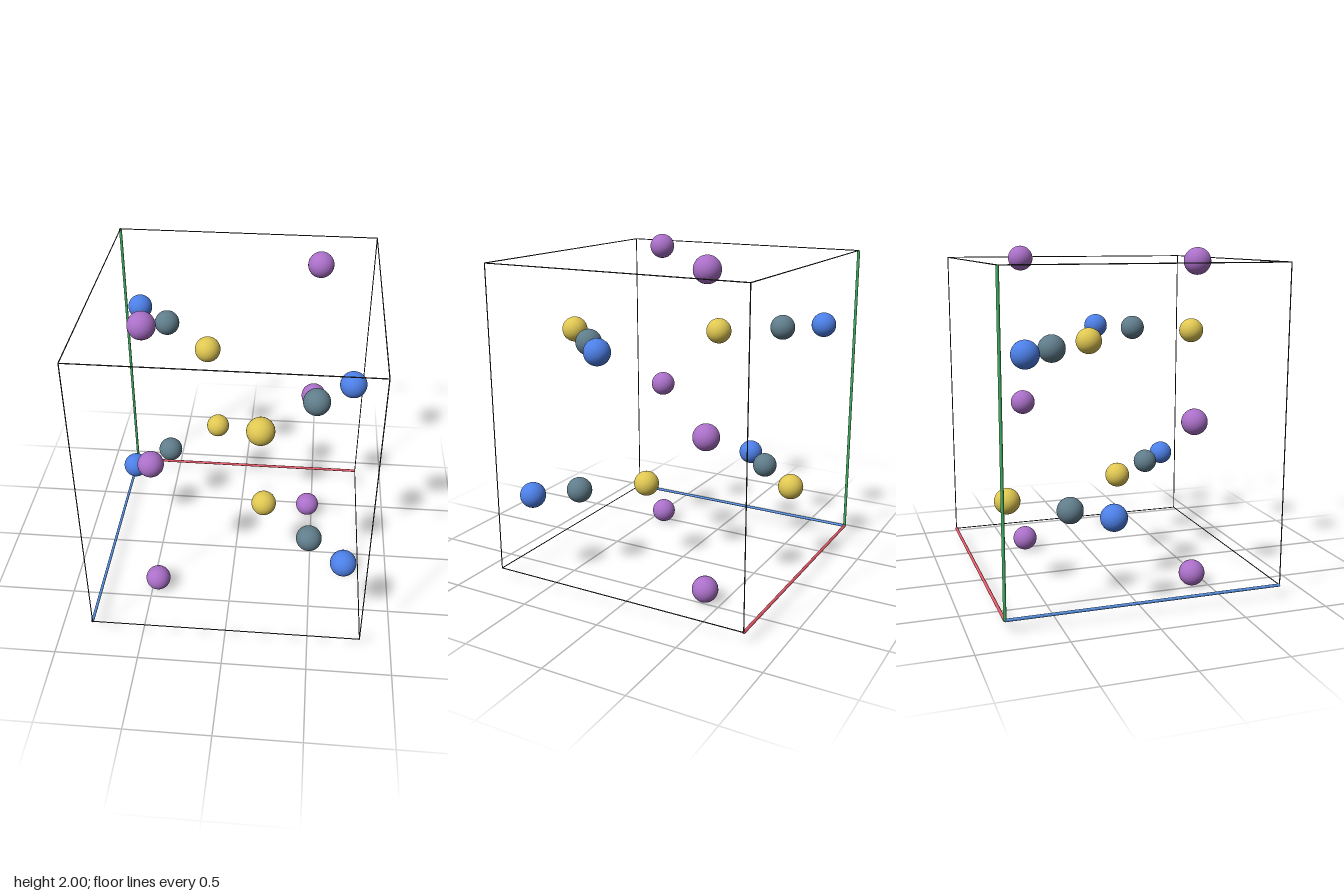
import * as THREE from 'three';

const mat = (name, color) => Object.assign(new THREE.MeshStandardMaterial({ color }), { name });

export function createModel() {
  const group = new THREE.Group();
  group.name = 'crystalCell';
  const purple = mat('purple', 0xab70c9);
  const blue = mat('blue', 0x4d80e8);
  const slate = mat('slate', 0x607d8b);
  const gold = mat('gold', 0xe0c752);
  const charcoal = mat('charcoal', 0x333333);
  const red = mat('axis red', 0xee5c6c);
  const green = mat('axis green', 0x42b062);
  const axisBlue = mat('axis blue', 0x5890e0);

  const R = 0.077, H = 0.808, OFF = 0.003;  // atom radius, cell half width, centring shift
  const LOW = R, HIGH = 2 - R;

  // Atoms
  const ball = new THREE.SphereGeometry(R, 32, 24);
  const atom = (name, material, x, y, z) => {
    const m = new THREE.Mesh(ball, material);
    m.name = name;
    m.position.set(x + OFF, y, z + OFF);
    group.add(m);
  };
  for (const y of [LOW, 1, HIGH]) {
    atom('purpleAtom', purple, 0.466, y, -0.403);
    atom('purpleAtom', purple, -0.466, y, 0.403);
  }
  // Each kind: x, then z of its atoms on the lower and upper layers
  const kinds = [
    ['blueAtom', blue, 0.681, [0.647, -0.161], [0.161, -0.647]],
    ['slateAtom', slate, 0.477, [0.452, -0.354], [0.354, -0.452]],
    ['goldAtom', gold, 0.186, [0.152, -0.654], [0.654, -0.152]],
  ];
  for (const [name, material, x, lower, upper] of kinds) {
    [[0.5385, lower], [1.4615, upper]].forEach(([y, [zPos, zNeg]]) => {
      atom(name, material, x, y, zPos);
      atom(name, material, -x, y, zNeg);
    });
  }

  // Cell edges: thin dark rods, with three thicker coloured axes from the origin corner
  const rod = (name, material, a, b, r) => {
    const from = new THREE.Vector3(...a), to = new THREE.Vector3(...b);
    const dir = to.clone().sub(from);
    const m = new THREE.Mesh(new THREE.CylinderGeometry(r, r, dir.length(), 12), material);
    m.name = name;
    m.position.copy(from).add(to).multiplyScalar(0.5);
    m.quaternion.setFromUnitVectors(new THREE.Vector3(0, 1, 0), dir.normalize());
    group.add(m);
  };
  const min = [-H + OFF, LOW, -H + OFF], max = [H + OFF, HIGH, H + OFF];
  const axes = [['xAxis', red], ['yAxis', green], ['zAxis', axisBlue]];
  axes.forEach(([name, material], i) => {
    const j = (i + 1) % 3, k = (i + 2) % 3;
    for (const u of [min, max]) for (const v of [min, max]) {
      const a = [0, 0, 0], b = [0, 0, 0];
      a[i] = min[i]; b[i] = max[i];
      a[j] = b[j] = u[j];
      a[k] = b[k] = v[k];
      const isAxis = u === min && v === min;
      rod(isAxis ? name : 'cellEdge', isAxis ? material : charcoal, a, b, isAxis ? 0.009 : 0.003);
    }
  });
  return group;
}
